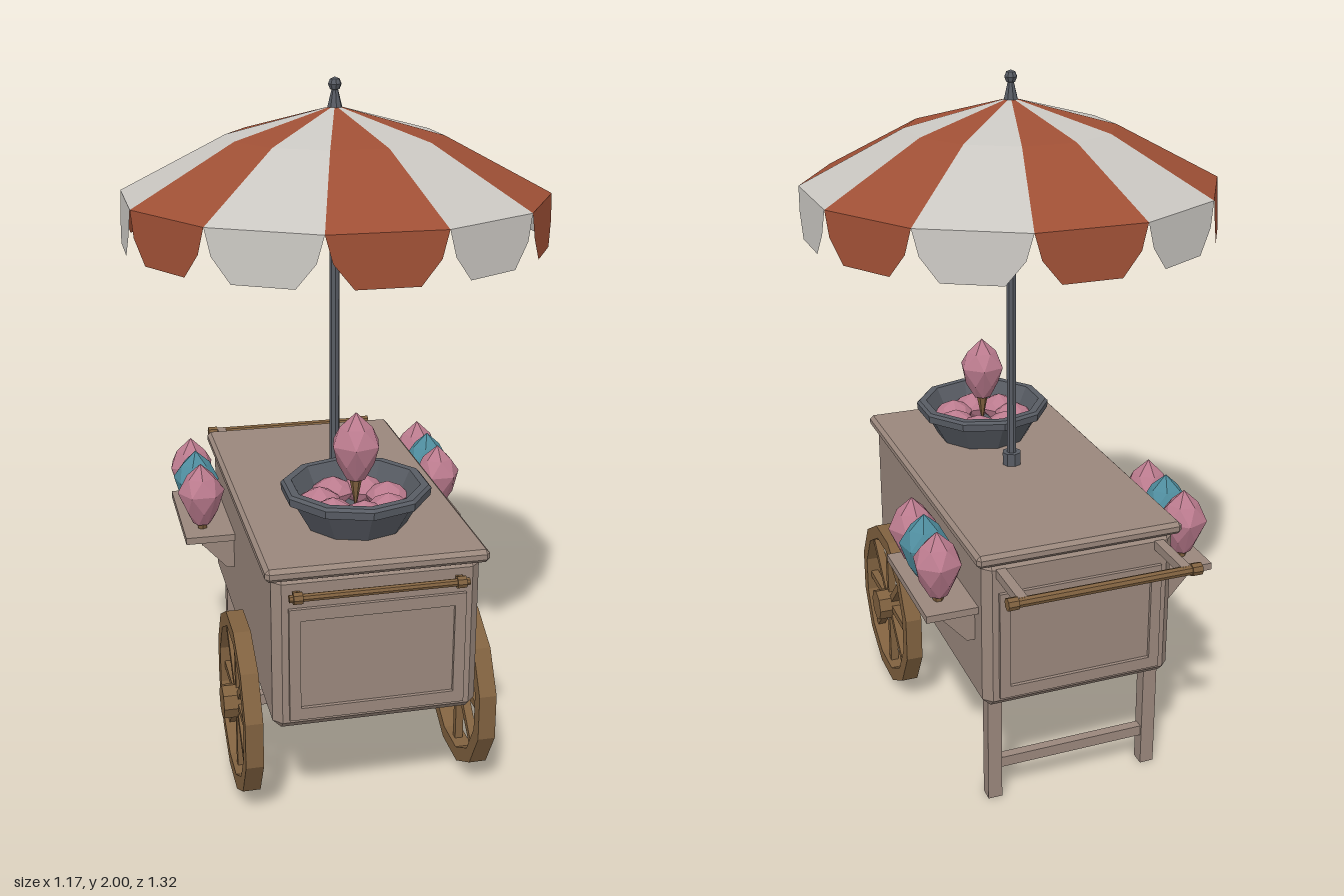
import * as THREE from 'three';
import { mergeGeometries } from 'three/addons/utils/BufferGeometryUtils.js';
import { ConvexGeometry } from 'three/addons/geometries/ConvexGeometry.js';

const mat = (name, color, side = THREE.FrontSide) => {
  const m = new THREE.MeshStandardMaterial({ color, side });
  m.name = name;
  return m;
};

// Faceted normals for low-poly parts
const flat = (g) => {
  const f = g.index ? g.toNonIndexed() : g;
  f.computeVertexNormals();
  return f;
};

const cylinder = (rTop, rBottom, h, sides) => flat(new THREE.CylinderGeometry(rTop, rBottom, h, sides));

// Box with every edge cut at 45 degrees
function chamferBox(w, h, d, c) {
  const pts = [];
  for (const x of [-1, 1]) for (const y of [-1, 1]) for (const z of [-1, 1]) {
    pts.push(
      new THREE.Vector3(x * w / 2, y * (h / 2 - c), z * (d / 2 - c)),
      new THREE.Vector3(x * (w / 2 - c), y * h / 2, z * (d / 2 - c)),
      new THREE.Vector3(x * (w / 2 - c), y * (h / 2 - c), z * d / 2));
  }
  return new ConvexGeometry(pts);
}

// Faceted tuft: hexagonal rings, each turned half a step from the last
function tuftGeometry() {
  const rings = [[0.055, 0.045], [0.008, 0.072], [-0.05, 0.052], [-0.095, 0.028]];
  const pts = [new THREE.Vector3(0, 0.097, 0)];
  rings.forEach(([y, r], row) => {
    for (let i = 0; i < 6; i++) {
      const a = (i + row / 2) * Math.PI / 3;
      pts.push(new THREE.Vector3(r * Math.sin(a), y, r * Math.cos(a)));
    }
  });
  return new ConvexGeometry(pts);
}

// Canopy gore with its scalloped valance, centred on angle a
function goreGeometry(a) {
  const half = Math.PI / 12;
  const at = (r, y, s) => {
    const n = r * Math.cos(half), t = s * r * Math.sin(half);
    return [n * Math.sin(a) + t * Math.cos(a), y, n * Math.cos(a) - t * Math.sin(a)];
  };
  const top = [0, 1.925, 0];
  const [ml, mr] = [-1, 1].map((s) => at(0.3, 1.845, s));
  const [rl, rr] = [-1, 1].map((s) => at(0.597, 1.69, s));
  const hem = [[-1, 0], [-0.87, 0.07], [-0.53, 0.135], [0.53, 0.135], [0.87, 0.07], [1, 0]]
    .map(([s, drop]) => at(0.597 + drop * 0.07, 1.69 - drop, s));
  const tris = [top, ml, mr, ml, rl, rr, ml, rr, mr];
  for (let k = 1; k < hem.length - 1; k++) tris.push(hem[0], hem[k], hem[k + 1]);
  const g = new THREE.BufferGeometry();
  g.setAttribute('position', new THREE.Float32BufferAttribute(tris.flat(), 3));
  g.computeVertexNormals();
  return g;
}

const ringPoints = (r, n) => Array.from({ length: n }, (_, i) => {
  const a = (i + 0.5) * 2 * Math.PI / n;
  return new THREE.Vector2(r * Math.cos(a), r * Math.sin(a));
});

const rectPoints = (x, y0, y1) => [[-x, y0], [x, y0], [x, y1], [-x, y1]].map((p) => new THREE.Vector2(...p));

export function createModel() {
  const paint = mat('beige paint', 0x9a877c);
  const wood = mat('brown wood', 0x80613f);
  const metal = mat('grey metal', 0x585c64);
  const red = mat('red cloth', 0x9e4f35, THREE.DoubleSide);
  const white = mat('white cloth', 0xc9c6c1, THREE.DoubleSide);
  const pink = mat('pink floss', 0xbb7b8e);
  const blue = mat('blue floss', 0x4f8d9e);

  const root = new THREE.Group();
  root.name = 'snackCart';
  const add = (name, geo, material, x = 0, y = 0, z = 0, parent = root) => {
    const m = new THREE.Mesh(geo, material);
    m.name = name;
    m.position.set(x, y, z);
    parent.add(m);
    return m;
  };
  const box = (name, w, h, d, material, x, y, z, parent) =>
    add(name, new THREE.BoxGeometry(w, h, d), material, x, y, z, parent);

  // Body and counter
  add('body', chamferBox(0.57, 0.46, 1.075, 0.024), paint, 0, 0.56, 0.06);
  add('counter', chamferBox(0.61, 0.037, 1.1, 0.011), paint, 0, 0.797, 0.064);

  // Raised frames on both ends
  const frameShape = new THREE.Shape(rectPoints(0.243, 0.365, 0.695));
  frameShape.holes.push(new THREE.Path(rectPoints(0.212, 0.4, 0.66)));
  const frameGeo = new THREE.ExtrudeGeometry(frameShape, { depth: 0.012, bevelEnabled: false });
  add('frontFrame', frameGeo, paint, 0, 0, 0.596);
  add('backFrame', frameGeo, paint, 0, 0, -0.488);

  // Front rail and back push handle
  const dowel = (name, r, len, x, y, z) => {
    add(name, cylinder(r, r, len, 8), wood, x, y, z).rotation.z = Math.PI / 2;
  };
  dowel('frontRail', 0.011, 0.49, 0, 0.735, 0.62);
  dowel('pushHandle', 0.014, 0.56, 0, 0.755, -0.642);
  for (const s of [-1, 1]) {
    dowel('railCollar', 0.017, 0.025, s * 0.222, 0.735, 0.62);
    box('railBracket', 0.02, 0.02, 0.03, wood, s * 0.222, 0.735, 0.605);
    dowel('handleCollar', 0.018, 0.03, s * 0.265, 0.755, -0.642);
    box('handleArm', 0.028, 0.026, 0.19, paint, s * 0.236, 0.755, -0.55);
  }

  // Legs, cross bar and axle
  for (const s of [-1, 1]) {
    box('leg', 0.042, 0.36, 0.042, paint, s * 0.243, 0.18, -0.418);
    box('axleBlock', 0.04, 0.08, 0.03, paint, s * 0.243, 0.305, 0.307);
  }
  box('legCrossBar', 0.45, 0.032, 0.028, paint, 0, 0.111, -0.418);
  box('axle', 0.64, 0.032, 0.032, paint, 0, 0.27, 0.307);

  // Wheels
  const rimShape = new THREE.Shape(ringPoints(0.262, 12));
  rimShape.holes.push(new THREE.Path(ringPoints(0.22, 12)));
  const rimGeo = new THREE.ExtrudeGeometry(rimShape, { depth: 0.05, bevelEnabled: false });
  rimGeo.translate(0, 0, -0.025).rotateY(Math.PI / 2);
  const hubGeo = cylinder(0.05, 0.05, 0.085, 8).rotateZ(Math.PI / 2);
  for (const s of [-1, 1]) {
    const wheel = new THREE.Group();
    wheel.name = s > 0 ? 'leftWheel' : 'rightWheel';
    wheel.position.set(s * 0.333, 0.27, 0.307);
    root.add(wheel);
    add('rim', rimGeo, wood, 0, 0, 0, wheel);
    add('hub', hubGeo, wood, s * 0.01, 0, 0, wheel);
    for (let i = 0; i < 4; i++) {
      box('spokePair', 0.024, 0.46, 0.022, wood, 0, 0, 0, wheel).rotation.x = i * Math.PI / 4;
    }
  }

  // Side shelves with brackets and floss cones
  const tuft = tuftGeometry();
  const flossCone = (material, x, y, z, turn) => {
    const g = new THREE.Group();
    g.name = 'flossCone';
    g.position.set(x, y, z);
    g.rotation.y = turn;
    root.add(g);
    add('floss', tuft, material, 0, 0, 0, g);
    add('cone', cylinder(0.024, 0.003, 0.11, 6), wood, 0, -0.118, 0, g);
  };
  const bracketShape = new THREE.Shape([[0, 0], [0, -0.1], [0.025, -0.1], [0.115, 0]].map((p) => new THREE.Vector2(...p)));
  const bracketGeo = new THREE.ExtrudeGeometry(bracketShape, { depth: 0.024, bevelEnabled: false }).translate(0, 0, -0.012);
  for (const s of [-1, 1]) {
    box('shelf', 0.15, 0.021, 0.39, paint, s * 0.359, 0.625, -0.235);
    for (const z of [-0.078, -0.385]) {
      const b = add('shelfBracket', bracketGeo, paint, s * 0.283, 0.616, z);
      if (s < 0) b.rotation.y = Math.PI;
    }
    [-0.115, -0.233, -0.35].forEach((z, i) => flossCone(i === 1 ? blue : pink, s * 0.375, 0.748, z, i * 0.7));
  }

  // Bowl heaped with floss
  const bowlProfile = [[0, 0], [0.143, 0], [0.19, 0.082], [0.208, 0.086], [0.21, 0.108], [0.202, 0.116],
    [0.18, 0.116], [0.135, 0.03], [0, 0.03]].map((p) => new THREE.Vector2(...p));
  add('bowl', flat(new THREE.LatheGeometry(bowlProfile, 10)), metal, 0, 0.814, 0.336);
  for (let i = 0; i < 7; i++) {
    const a = i * 2 * Math.PI / 7;
    const m = add('bowlFloss', tuft, pink, 0.1 * Math.sin(a), 0.872, 0.336 + 0.1 * Math.cos(a));
    m.scale.set(0.9, 0.45, 0.9);
    m.rotation.y = a;
  }
  flossCone(pink, 0, 1.037, 0.338, 0.3);

  // Parasol: pole, striped canopy and finial
  const parasol = new THREE.Group();
  parasol.name = 'parasol';
  parasol.position.z = 0.07;
  root.add(parasol);
  add('pole', cylinder(0.015, 0.015, 1.1, 8), metal, 0, 1.365, 0, parasol);
  add('poleCollar', cylinder(0.029, 0.029, 0.04, 8), metal, 0, 0.835, 0, parasol);
  const gores = Array.from({ length: 12 }, (_, i) => goreGeometry(i * Math.PI / 6));
  add('redStripes', mergeGeometries(gores.filter((_, i) => i % 2 === 0)), red, 0, 0, 0, parasol);
  add('whiteStripes', mergeGeometries(gores.filter((_, i) => i % 2 === 1)), white, 0, 0, 0, parasol);
  add('finialStem', cylinder(0.007, 0.022, 0.06, 8), metal, 0, 1.945, 0, parasol);
  add('finialBall', flat(new THREE.SphereGeometry(0.019, 8, 4)), metal, 0, 1.981, 0, parasol);
  return root;
}
